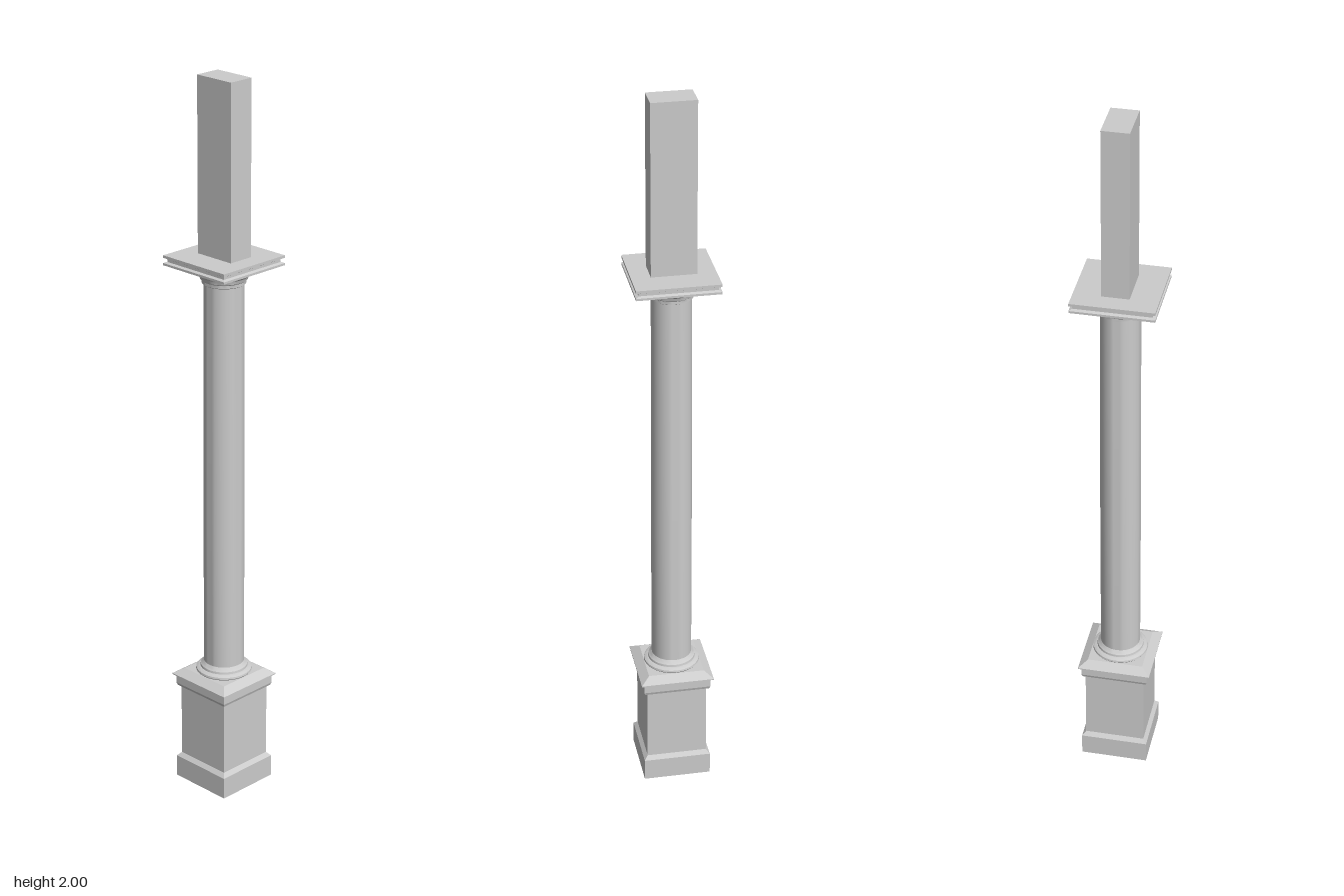
import * as THREE from 'three';
import { toCreasedNormals } from 'three/addons/utils/BufferGeometryUtils.js';

const flat = new THREE.MeshStandardMaterial({ color: 0xcccccc, flatShading: true, side: THREE.DoubleSide });
const smooth = new THREE.MeshStandardMaterial({ color: 0xcccccc, side: THREE.DoubleSide });

// Square moulding: profile of [half width, height], bottom to top
function squareMoulding(name, profile) {
  const pts = profile.map(([w, y]) => new THREE.Vector2(w * Math.SQRT2, y));
  const mesh = new THREE.Mesh(new THREE.LatheGeometry(pts, 4, Math.PI / 4), flat);
  mesh.name = name;
  return mesh;
}

// Round moulding: profile of [radius, height], bottom to top
function roundMoulding(name, profile) {
  const pts = profile.map(([r, y]) => new THREE.Vector2(r, y));
  const geo = toCreasedNormals(new THREE.LatheGeometry(pts, 40), 0.6);
  const mesh = new THREE.Mesh(geo, smooth);
  mesh.name = name;
  return mesh;
}

export function createModel() {
  const model = new THREE.Group();
  model.name = 'column';

  // Hollow pedestal, open underneath: plinth, die and cornice
  model.add(squareMoulding('pedestal', [
    [0.093, 0], [0.093, 0.062], [0.083, 0.073], [0.083, 0.282],
    [0.09, 0.284], [0.093, 0.292], [0.093, 0.315], [0.101, 0.318],
    [0.101, 0.321], [0.077, 0.337], [0, 0.337],
  ]));

  // Rounded foot of the shaft
  model.add(roundMoulding('shaftBase', [
    [0.074, 0.336], [0.077, 0.34], [0.076, 0.345], [0.071, 0.349],
    [0.065, 0.35], [0.064, 0.356], [0.059, 0.36], [0.055, 0.366],
  ]));

  // Slightly tapered shaft
  model.add(roundMoulding('shaft', [[0.055, 0.36], [0.055, 0.8], [0.053, 1.465]]));

  // Neck ring and echinus
  model.add(roundMoulding('capital', [
    [0.053, 1.455], [0.058, 1.458], [0.058, 1.466], [0.062, 1.469],
    [0.065, 1.478], [0.072, 1.483], [0.077, 1.49], [0.079, 1.504],
  ]));

  // Square slab with a grooved edge
  model.add(squareMoulding('abacus', [
    [0, 1.503], [0.111, 1.503], [0.111, 1.509], [0.103, 1.512],
    [0.103, 1.519], [0.111, 1.523], [0.111, 1.53], [0, 1.53],
  ]));

  // Rectangular post on top
  const post = new THREE.Mesh(new THREE.BoxGeometry(0.12, 0.47, 0.073), flat);
  post.position.set(0, 1.765, -0.001);
  post.name = 'upperPost';
  model.add(post);

  return model;
}
